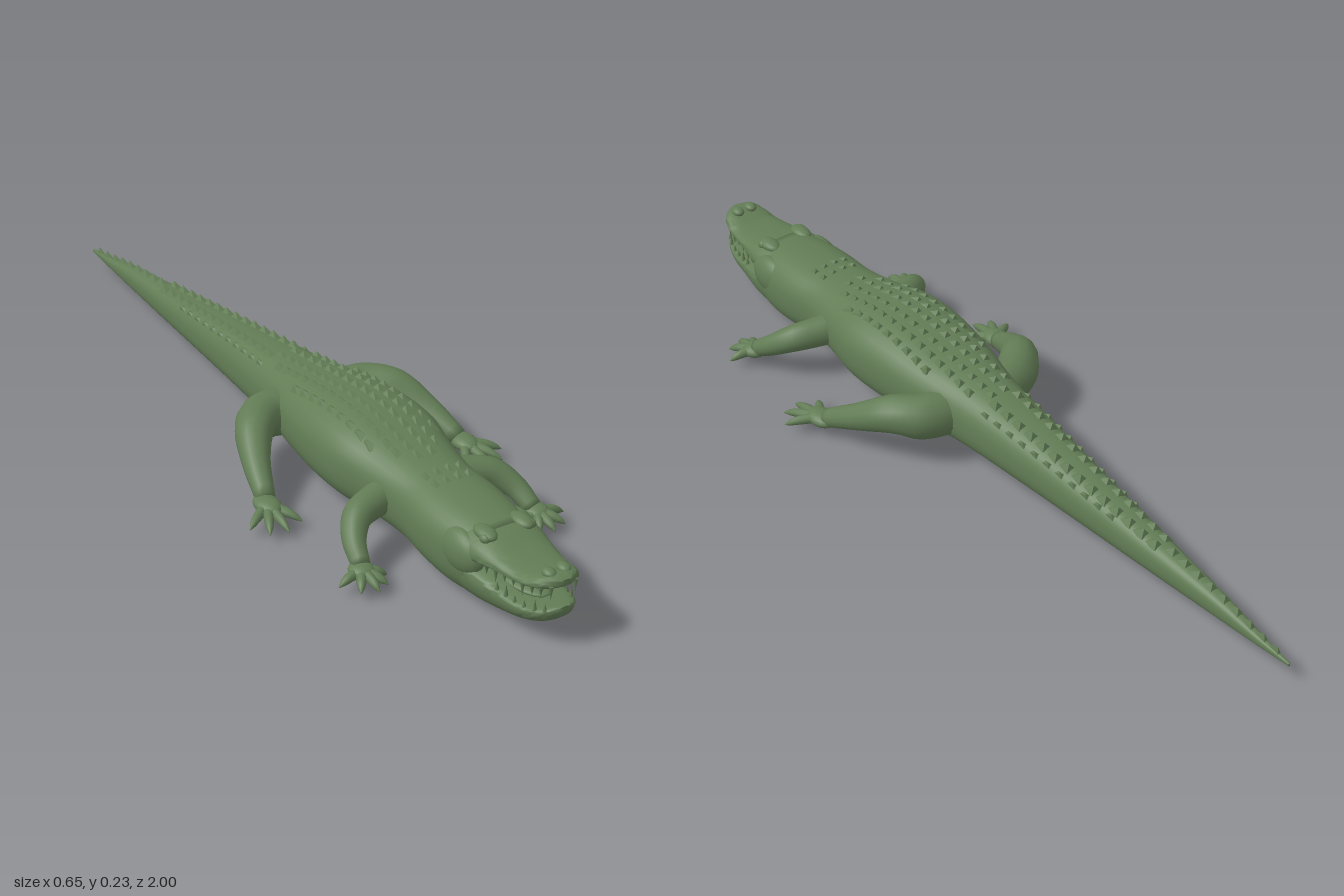
import * as THREE from 'three';
import { mergeGeometries, toCreasedNormals } from 'three/addons/utils/BufferGeometryUtils.js';

const green = new THREE.MeshStandardMaterial({ color: 0x627c55 });
green.name = 'swampGreen';
const V = (x, y, z) => new THREE.Vector3(x, y, z);

function add(parent, name, geometry) {
  const mesh = new THREE.Mesh(geometry, green);
  mesh.name = name;
  parent.add(mesh);
  return mesh;
}

// Closed skin over a list of rings with equal point counts
function skin(rings) {
  const n = rings[0].length, pos = [], index = [];
  const centre = ring => ring.reduce((s, p) => s.add(p), V(0, 0, 0)).divideScalar(n);
  rings.forEach(r => r.forEach(p => pos.push(p.x, p.y, p.z)));
  const last = (rings.length - 1) * n, c0 = rings.length * n, c1 = c0 + 1;
  [rings[0], rings[rings.length - 1]].forEach(r => pos.push(...centre(r).toArray()));
  for (let i = 0; i < rings.length - 1; i++) for (let j = 0; j < n; j++) {
    const a = i * n + j, b = i * n + (j + 1) % n;
    index.push(a, b, a + n, b, b + n, a + n);
  }
  for (let j = 0; j < n; j++) {
    const k = (j + 1) % n;
    index.push(c0, k, j, c1, last + j, last + k);
  }
  const g = new THREE.BufferGeometry();
  g.setAttribute('position', new THREE.Float32BufferAttribute(pos, 3));
  g.setIndex(index);
  g.computeVertexNormals();
  return g;
}

// Smooth lookup of [half width, top, bottom, height fraction of widest point] by z
function profile(rows) {
  const f = new THREE.CubicInterpolant(rows.map(r => r[0]), rows.flatMap(r => r.slice(1)), 4, new Float32Array(4));
  return z => Array.from(f.evaluate(z));
}
const E = 0.82; // slightly boxy ellipse
function section(at, z, n = 36) {
  const [w, top, bot, m] = at(z), mid = bot + (top - bot) * m;
  return Array.from({ length: n }, (_, i) => {
    const a = i / n * Math.PI * 2, c = Math.cos(a), s = Math.sin(a);
    const p = v => Math.sign(v) * Math.abs(v) ** E;
    return V(w * p(c), mid + p(s) * (s > 0 ? top - mid : mid - bot), z);
  });
}
function loft(at, z0, z1, steps) {
  return skin(Array.from({ length: steps + 1 }, (_, i) => section(at, z0 + (z1 - z0) * i / steps)));
}
function topAt(at, x, z) {
  const [w, top, bot, m] = at(z), mid = bot + (top - bot) * m;
  const c = Math.min(1, Math.abs(x) / w) ** (1 / E);
  return mid + (top - mid) * Math.max(0, 1 - c * c) ** (E / 2);
}

// Tapered tube through points [x, y, z, radius]
function limb(pts, steps = 20, n = 14) {
  const curve = new THREE.CatmullRomCurve3(pts.map(p => V(p[0], p[1], p[2])));
  const { normals, binormals } = curve.computeFrenetFrames(steps, false);
  return skin(Array.from({ length: steps + 1 }, (_, i) => {
    const t = i / steps, f = t * (pts.length - 1), k = Math.min(pts.length - 2, Math.floor(f));
    const p = curve.getPoint(t), r = THREE.MathUtils.lerp(pts[k][3], pts[k + 1][3], f - k);
    // frames are sampled by arc length, close enough for evenly spaced points
    return Array.from({ length: n }, (_, j) => {
      const a = j / n * Math.PI * 2;
      return p.clone().addScaledVector(normals[i], r * Math.cos(a)).addScaledVector(binormals[i], r * Math.sin(a));
    });
  }));
}

function ball(parent, name, x, y, z, rx, ry, rz) {
  const m = add(parent, name, new THREE.SphereGeometry(1, 18, 12));
  m.position.set(x, y, z);
  m.scale.set(rx, ry, rz);
  return m;
}

// Keeled back scale: a four-sided pyramid with its peak pushed to the rear
function scute(x, y, z, w, h, l, tilt = 0) {
  const g = new THREE.ConeGeometry(0.7071, 1, 4).rotateY(Math.PI / 4).toNonIndexed();
  const p = g.attributes.position;
  for (let i = 0; i < p.count; i++) if (p.getY(i) > 0) p.setZ(i, -0.35);
  g.scale(w, h, l).rotateZ(tilt).translate(x, y + h * 0.3, z);
  g.computeVertexNormals();
  return g;
}

const body = profile([
  [-1, 0.003, 0.052, 0.044, 0.5], [-0.9, 0.012, 0.068, 0.041, 0.5], [-0.8, 0.021, 0.088, 0.039, 0.5],
  [-0.6, 0.037, 0.115, 0.036, 0.48], [-0.4, 0.053, 0.142, 0.035, 0.46], [-0.2, 0.071, 0.17, 0.035, 0.45],
  [0, 0.093, 0.194, 0.034, 0.46], [0.12, 0.118, 0.21, 0.03, 0.5], [0.25, 0.135, 0.224, 0.025, 0.5],
  [0.35, 0.136, 0.222, 0.026, 0.5], [0.45, 0.115, 0.206, 0.028, 0.5], [0.55, 0.1, 0.195, 0.022, 0.5],
  [0.64, 0.105, 0.19, 0.012, 0.5], [0.72, 0.1, 0.185, 0.004, 0.52], [0.79, 0.088, 0.176, 0.01, 0.55]]);
const upper = profile([
  [0.7, 0.09, 0.178, 0.1, 0.25], [0.8, 0.086, 0.174, 0.113, 0.25], [0.86, 0.074, 0.158, 0.122, 0.3],
  [0.92, 0.064, 0.152, 0.127, 0.3], [0.96, 0.055, 0.163, 0.133, 0.3], [0.985, 0.041, 0.168, 0.139, 0.35],
  [1, 0.016, 0.162, 0.147, 0.4]]);
const lower = profile([
  [0.7, 0.095, 0.112, 0.006, 0.8], [0.8, 0.087, 0.104, 0.009, 0.8], [0.87, 0.072, 0.089, 0.02, 0.8],
  [0.93, 0.061, 0.084, 0.036, 0.8], [0.97, 0.046, 0.09, 0.053, 0.75], [0.99, 0.03, 0.097, 0.068, 0.7],
  [1, 0.012, 0.099, 0.08, 0.6]]);

function addTeeth(parent, name, at, dir, zs, len) {
  const teeth = [];
  zs.forEach((z, i) => {
    const [w, top, bot] = at(z), h = len * (i % 3 === 1 ? 1.5 : 1);
    for (const s of [-1, 1]) {
      const g = new THREE.ConeGeometry(0.0055, h, 7);
      if (dir < 0) g.rotateX(Math.PI);
      g.translate(s * w * 0.88, (dir < 0 ? bot + 0.008 : top - 0.008) + dir * h / 2, z);
      teeth.push(g);
    }
  });
  add(parent, name, mergeGeometries(teeth));
}

function addHead(root) {
  const head = new THREE.Group();
  head.name = 'head';
  root.add(head);
  add(head, 'upperJaw', toCreasedNormals(loft(upper, 0.7, 1, 30), 0.9));
  add(head, 'lowerJaw', toCreasedNormals(loft(lower, 0.7, 1, 30), 0.9));
  ball(head, 'tongue', 0, 0.088, 0.85, 0.04, 0.011, 0.09);
  addTeeth(head, 'upperTeeth', upper, -1, [0.83, 0.855, 0.88, 0.905, 0.93, 0.955, 0.975, 0.99], 0.022);
  addTeeth(head, 'lowerTeeth', lower, 1, [0.86, 0.885, 0.91, 0.935, 0.96, 0.98], 0.019);
  for (const s of [-1, 1]) {
    ball(head, 'brow', s * 0.045, 0.171, 0.785, 0.02, 0.013, 0.034);
    ball(head, 'eye', s * 0.056, 0.168, 0.8, 0.011, 0.011, 0.014);
    ball(head, 'nostril', s * 0.018, 0.165, 0.965, 0.014, 0.01, 0.018);
    ball(head, 'cheek', s * 0.07, 0.115, 0.74, 0.032, 0.05, 0.07);
  }
}

function addScutes(root) {
  const back = [], tail = [];
  // Rows over the trunk, outer rows shorter than the inner pair
  [[0.018, -0.04, 0.52], [0.05, 0, 0.48], [0.08, 0.12, 0.42]].forEach(([x, z0, z1], row) => {
    for (let z = z0; z < z1; z += 0.036) for (const s of [-1, 1]) {
      back.push(scute(s * x, topAt(body, x, z) - 0.002, z, 0.022, 0.015 - row * 0.001, 0.034, -s * x * 4));
    }
  });
  // Neck cluster
  for (const z of [0.57, 0.605]) for (const x of [-0.042, -0.015, 0.015, 0.042]) {
    back.push(scute(x, topAt(body, x, z) - 0.002, z, 0.02, 0.014, 0.028, -x * 4));
  }
  // Paired tail rows narrowing to a single crest
  for (let z = -0.07; z > -0.97; z -= 0.04) {
    const w = body(z)[0], single = z < -0.62;
    for (const x of single ? [0] : [-w * 0.38, w * 0.38]) {
      tail.push(scute(x, topAt(body, x, z) - 0.003, z, Math.min(0.026, w * 0.8 + 0.003), 0.019, 0.042, single ? 0 : -x * 4));
    }
    if (z > -0.5) for (const s of [-1, 1]) {
      const x = s * w * 0.72;
      tail.push(scute(x, topAt(body, x, z) - 0.002, z, 0.014, 0.01, 0.034, -s * 0.5));
    }
  }
  add(root, 'backScutes', mergeGeometries(back));
  add(root, 'tailScutes', mergeGeometries(tail));
}

function makeLeg(name, path, palm, tips) {
  const leg = new THREE.Group();
  leg.name = name;
  add(leg, name + 'Limb', limb(path));
  const [x, y, z, rx, ry, rz] = palm;
  ball(leg, name + 'Palm', x, y, z, rx, ry, rz);
  tips.forEach(([tx, tz]) => {
    const mx = x + (tx - x) * 0.6, mz = z + (tz - z) * 0.6;
    add(leg, name + 'Toe', limb([[x, y, z, 0.013], [mx, 0.036, mz, 0.0105],
      [x + (tx - x) * 0.82, 0.031, z + (tz - z) * 0.82, 0.0075], [tx, 0.025, tz, 0.0012]], 10, 9));
  });
  return leg;
}

function addLegs(root) {
  const makers = [
    () => makeLeg('frontLeg', [[0.06, 0.115, 0.47, 0.04], [0.12, 0.11, 0.485, 0.036], [0.17, 0.103, 0.505, 0.033],
      [0.204, 0.077, 0.545, 0.026], [0.218, 0.045, 0.595, 0.02]], [0.222, 0.04, 0.602, 0.028, 0.016, 0.03],
      [[0.284, 0.615], [0.258, 0.658], [0.222, 0.672], [0.192, 0.658], [0.174, 0.625]]),
    () => makeLeg('rearLeg', [[0.07, 0.11, 0.05, 0.055], [0.13, 0.116, 0.06, 0.053], [0.181, 0.119, 0.105, 0.045],
      [0.222, 0.087, 0.18, 0.032], [0.25, 0.047, 0.265, 0.022]], [0.256, 0.042, 0.282, 0.028, 0.017, 0.042],
      [[0.326, 0.328], [0.3, 0.368], [0.26, 0.38], [0.213, 0.355]])];
  for (const make of makers) for (const s of [-1, 1]) {
    const leg = make();
    leg.scale.x = s;
    root.add(leg);
  }
}

export function createModel() {
  const root = new THREE.Group();
  root.name = 'crocodile';
  add(root, 'bodyAndTail', loft(body, -1, 0.79, 90));
  addHead(root);
  addScutes(root);
  addLegs(root);
  return root;
}
